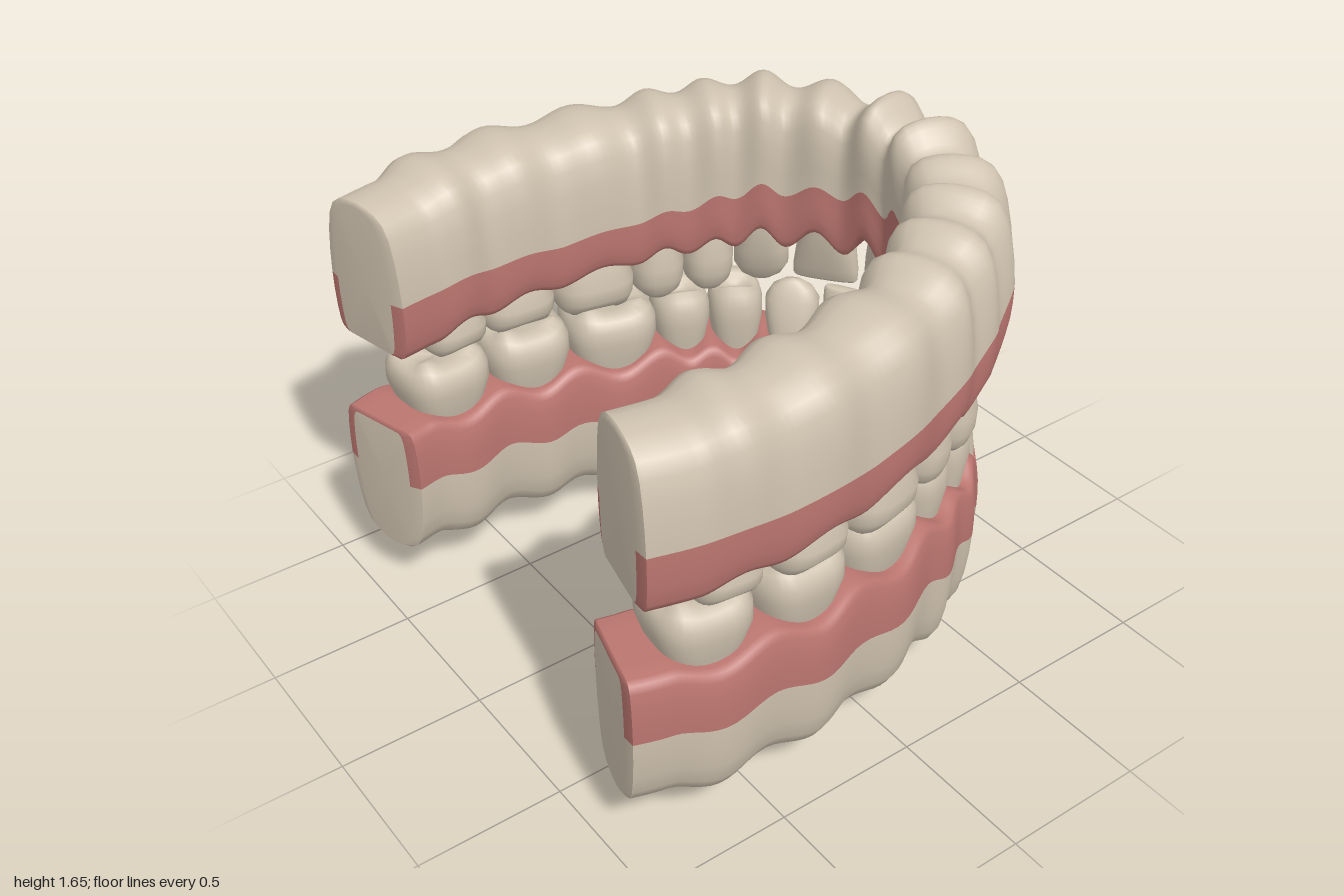
import * as THREE from 'three';

const bone = new THREE.MeshStandardMaterial({ color: 0xd0c3b0 });
bone.name = 'bone';
const gum = new THREE.MeshStandardMaterial({ color: 0xbc7670 });
gum.name = 'gum';

// Half of the ridge cross-section, apex to gum line: [width, height in bone or gum band]
const boneHalf = [[0, 1], [0.28, 0.985], [0.52, 0.95], [0.72, 0.87], [0.86, 0.72], [0.94, 0.5], [0.985, 0.25], [1, 0]];
const gumHalf = [[1, 0.7], [0.98, 0.4], [0.94, 0.16], [0.88, 0.05], [0.78, 0], [0.4, 0], [0, 0]];
const EDGE = boneHalf.length - 1;
const HALF = EDGE + gumHalf.length;
const RING = HALF * 2;

// Tooth crown rows, root to biting surface: [height, width, depth, cusp strength]
const crowns = {
  molar: [[0, 0.74, 0.78, 0], [0.3, 0.86, 0.88, 0], [0.58, 1, 1, 0], [0.78, 0.99, 0.97, 0.1], [0.91, 0.9, 0.85, 0.5],
    [0.98, 0.74, 0.66, 1], [0.95, 0.5, 0.42, 0.7], [0.89, 0.22, 0.18, 0.1], [0.88, 0, 0, 0]],
  incisor: [[0, 0.6, 1, 0], [0.3, 0.7, 0.98, 0], [0.6, 0.88, 0.75, 0], [0.85, 0.98, 0.48, 0], [0.97, 0.97, 0.32, 0],
    [1, 0.9, 0.22, 0], [1, 0, 0, 0]],
  canine: [[0, 0.65, 1, 0], [0.3, 0.78, 1, 0], [0.6, 0.96, 0.85, 0], [0.8, 0.96, 0.6, 0], [0.92, 0.72, 0.4, 0],
    [0.99, 0.35, 0.2, 0], [1.01, 0, 0, 0]],
};
crowns.premolar = crowns.molar;
const kinds = ['incisor', 'incisor', 'canine', 'premolar', 'premolar', 'molar', 'molar', 'molar'];
const toothNames = ['centralIncisor', 'lateralIncisor', 'canine', 'firstPremolar', 'secondPremolar',
  'firstMolar', 'secondMolar', 'thirdMolar'];

// Tables run from the midline (0) over tooth boundaries (1 to 8) to the open end (9);
// swell tables hold one value per tooth.
const jaws = {
  upper: {
    path: [[0, -0.82], [0.23, -0.765], [0.43, -0.62], [0.56, -0.46], [0.645, -0.29], [0.715, -0.1], [0.78, 0.2],
      [0.8, 0.485], [0.775, 0.73], [0.742, 0.885]],
    width: [0.155, 0.16, 0.17, 0.175, 0.18, 0.185, 0.195, 0.197, 0.195, 0.187],
    apex: [1.57, 1.57, 1.59, 1.59, 1.57, 1.54, 1.53, 1.52, 1.5, 1.5],
    apexSwell: [0.08, 0.05, 0.05, 0.03, 0.03, 0.03, 0.03, 0.03, 0],
    seam: [1.26, 1.27, 1.26, 1.25, 1.22, 1.2, 1.18, 1.18, 1.18, 1.18],
    seamSwell: [0.07, 0.05, 0.06, 0.04, 0.03, 0.02, 0.02, 0.02, 0],
    line: [1.03, 1.04, 1.04, 1.04, 1.03, 1.02, 1, 0.985, 0.97, 0.97],
    lineSwell: [0.1, 0.08, 0.08, 0.05, 0.05, 0.04, 0.04, 0.04, 0],
    tip: [0.825, 0.835, 0.82, 0.84, 0.84, 0.845, 0.865, 0.87],
    depth: [0.09, 0.085, 0.105, 0.125, 0.135, 0.165, 0.165, 0.155],
    offset: [0.045, 0.04, 0.035, 0.02, 0.01, 0, 0, -0.01],
    lean: 0.06, down: false,
  },
  lower: {
    path: [[0, -0.775], [0.165, -0.75], [0.32, -0.67], [0.47, -0.53], [0.58, -0.36], [0.66, -0.16], [0.74, 0.17],
      [0.765, 0.49], [0.735, 0.81], [0.707, 0.915]],
    width: [0.13, 0.135, 0.145, 0.16, 0.17, 0.18, 0.19, 0.19, 0.187, 0.182],
    apex: [0.1, 0.09, 0.1, 0.09, 0.09, 0.12, 0.145, 0.16, 0.17, 0.17],
    apexSwell: [-0.04, -0.05, -0.1, -0.03, -0.03, -0.03, -0.03, -0.035, 0],
    seam: [0.41, 0.41, 0.41, 0.42, 0.43, 0.45, 0.46, 0.48, 0.48, 0.48],
    seamSwell: [-0.04, -0.04, -0.08, -0.03, -0.03, -0.03, -0.03, -0.03, 0],
    line: [0.64, 0.63, 0.62, 0.64, 0.65, 0.68, 0.69, 0.7, 0.7, 0.7],
    lineSwell: [-0.06, -0.06, -0.1, -0.05, -0.04, -0.06, -0.05, -0.04, 0],
    tip: [0.82, 0.825, 0.835, 0.84, 0.845, 0.855, 0.865, 0.87],
    depth: [0.08, 0.08, 0.1, 0.115, 0.125, 0.16, 0.165, 0.16],
    offset: [0.04, 0.04, 0.035, 0.02, 0.01, 0, 0, 0],
    lean: 0.05, down: true,
  },
};

// Joins closed rings of points into a surface; isGum(row, column) picks the colour
function loft(rows, flip, isGum = () => false) {
  const n = rows[0].length, sets = [[], []];
  for (let i = 0; i < rows.length - 1; i++) {
    for (let j = 0; j < n; j++) {
      const k = (j + 1) % n;
      const a = i * n + j, b = a + n, c = i * n + k, d = c + n;
      sets[isGum(i, j) ? 1 : 0].push(...(flip ? [a, c, b, c, d, b] : [a, b, c, c, b, d]));
    }
  }
  const geo = new THREE.BufferGeometry().setFromPoints(rows.flat());
  geo.setIndex(sets.flat());
  geo.addGroup(0, sets[0].length, 0);
  geo.addGroup(sets[0].length, sets[1].length, 1);
  geo.computeVertexNormals();
  return geo;
}

function makeJaw(name, jaw) {
  const group = new THREE.Group();
  group.name = name + 'Jaw';
  const half = jaw.path.map(([x, z]) => new THREE.Vector3(x, 0, z));
  const mirror = half.slice(1).reverse().map((p) => new THREE.Vector3(-p.x, 0, p.z));
  const curve = new THREE.CatmullRomCurve3([...mirror, ...half]);

  const frame = (t) => {
    const u = (t + 9) / 18, T = curve.getTangent(u);
    return { P: curve.getPoint(u), T, N: new THREE.Vector3(T.z, 0, -T.x) };
  };
  const swell = (t) => (Math.abs(t) < 8 ? Math.sin(Math.PI * t) ** 2 : 0);
  const value = (key, t) => {
    const a = Math.abs(t), i = Math.min(8, Math.floor(a));
    const base = THREE.MathUtils.lerp(jaw[key][i], jaw[key][i + 1], a - i);
    return base + (jaw[key + 'Swell'] ? jaw[key + 'Swell'][i] * swell(t) : 0);
  };

  // One cross-section of the ridge; sx and sy shrink it for the end face
  const section = (t, sx = 1, sy = 1) => {
    const { P, N } = frame(t);
    const apex = value('apex', t), seam = value('seam', t), line = value('line', t);
    const mid = (apex + line) / 2, width = value('width', t);
    const front = Math.max(0, 1 - Math.abs(t) / 5);
    return Array.from({ length: RING }, (_, j) => {
      const k = j <= HALF ? j : RING - j, side = j <= HALF ? 1 : -1;
      const inBone = k <= EDGE;
      const [w, h] = inBone ? boneHalf[k] : gumHalf[k - EDGE - 1];
      const y = inBone ? THREE.MathUtils.lerp(seam, apex, h) : THREE.MathUtils.lerp(line, seam, h);
      const rise = inBone ? h : 0;
      const ridge = (0.018 + 0.016 * rise) * (swell(t) - 0.5);
      const off = side * w * (width + ridge) * sx - jaw.lean * front * rise;
      return P.clone().addScaledVector(N, off).setY(mid + (y - mid) * sy);
    });
  };
  const onGum = (j) => j >= EDGE && j < RING - EDGE;

  // Ridge of bone with its band of gum
  const steps = 216;
  const rows = Array.from({ length: steps + 1 }, (_, i) => section(-9 + (18 * i) / steps));
  const ridge = new THREE.Mesh(loft(rows, jaw.down, (i, j) => onGum(j)), [bone, gum]);
  ridge.name = name + 'Ridge';
  group.add(ridge);

  // End faces: a rim that keeps the band colours around a flat bone face
  for (const s of [-1, 1]) {
    const { T } = frame(9 * s);
    const inner = section(9 * s, 0.75, 0.965).map((p) => p.addScaledVector(T, s * 0.012));
    const centre = inner.reduce((sum, p) => sum.add(p), new THREE.Vector3()).divideScalar(RING);
    const capRows = [section(9 * s), inner, inner.map(() => centre.clone())];
    const rim = s > 0 ? 0 : 1;
    if (s < 0) capRows.reverse();
    const cap = new THREE.Mesh(loft(capRows, jaw.down, (i, j) => i === rim && onGum(j)), [bone, gum]);
    cap.name = name + (s > 0 ? 'LeftEnd' : 'RightEnd');
    group.add(cap);
  }

  // Teeth
  for (const s of [-1, 1]) {
    kinds.forEach((kind, k) => {
      const { P, T, N } = frame(s * (k + 0.5));
      const w = half[k].distanceTo(half[k + 1]) * 0.5 * (k < 3 ? 1 : 0.99);
      const root = value('line', k + 0.5) + (jaw.down ? -0.06 : 0.06);
      const dir = jaw.down ? 1 : -1;
      const cusps = kind === 'molar' ? 4 : 2;
      const power = kind === 'molar' ? 0.68 : 0.8;
      const bend = (v) => Math.sign(v) * Math.abs(v) ** power;
      const toothRows = crowns[kind].map(([h, sw, sd, cusp]) => Array.from({ length: 32 }, (_, j) => {
        const a = (j / 32) * Math.PI * 2;
        const y = THREE.MathUtils.lerp(root, jaw.tip[k], h) - dir * cusp * 0.014 * Math.cos(cusps * a);
        return P.clone().addScaledVector(T, bend(Math.cos(a)) * w * sw)
          .addScaledVector(N, jaw.offset[k] + bend(Math.sin(a)) * jaw.depth[k] * sd).setY(y);
      }));
      const tooth = new THREE.Mesh(loft(toothRows, jaw.down), bone);
      tooth.geometry.clearGroups();
      tooth.name = name + (s > 0 ? 'Left_' : 'Right_') + toothNames[k];
      group.add(tooth);
    });
  }
  return group;
}

export function createModel() {
  const model = new THREE.Group();
  model.name = 'jawModel';
  for (const name of ['upper', 'lower']) model.add(makeJaw(name, jaws[name]));
  return model;
}
